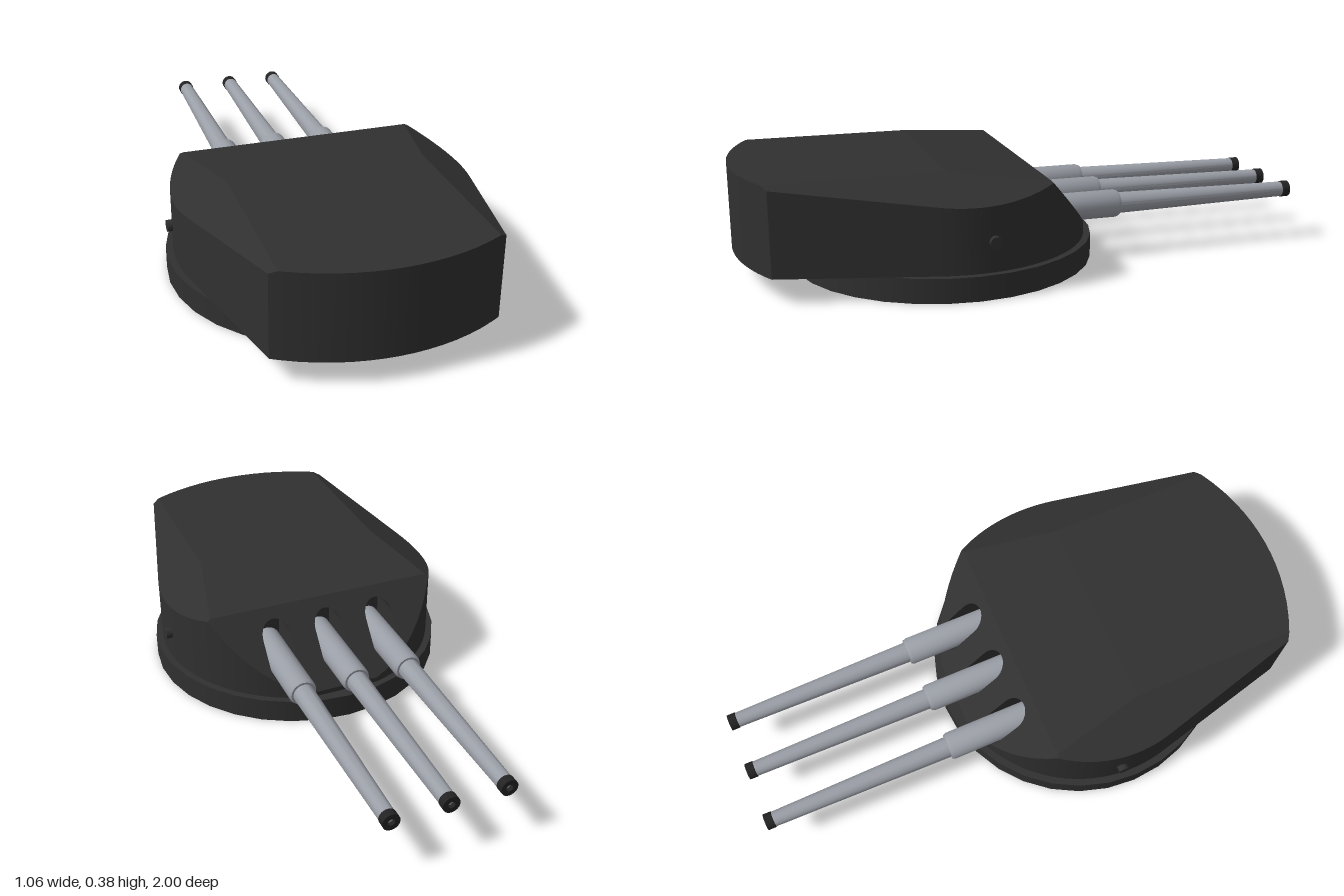
import * as THREE from 'three';
import { toCreasedNormals } from 'three/addons/utils/BufferGeometryUtils.js';
import { ConvexGeometry } from 'three/addons/geometries/ConvexGeometry.js';

const FLOOR = 0.083, AXIS_Y = 0.185, CENTRE_Z = 0.27, RADIUS = 0.505;
const SLOPE = 1.1136, BROW_Y = 0.345;
const GUN_X = [-0.195, 0, 0.195];

const slopeZ = (y) => (y - BROW_Y) / SLOPE;
// height of the armoured house at a plan position: roof, side bevels, front slope
const topY = (x, z) => Math.min(
  0.38, BROW_Y + 0.106 * z, 0.38 - 0.485 * (Math.abs(x) - 0.34),
  z < 0 ? BROW_Y + SLOPE * z : 1);

function arc(from, to, steps) {
  return Array.from({ length: steps + 1 }, (_, i) => {
    const a = from + (to - from) * i / steps;
    return [RADIUS * Math.cos(a), CENTRE_Z + RADIUS * Math.sin(a)];
  });
}

const sideArc = arc(0.241, -0.5759, 12);
const frontArc = arc(-0.5759, -1.3265, 11);

// closed house without its sloped face, which is made separately with gun slots
function houseGeometry() {
  const plan = [...sideArc, ...frontArc];
  for (const x of [0.365, 0.34, 0.29, 0.24, 0.19, 0.14, 0.09, 0.045, 0]) {
    plan.push([x, 0.284 + Math.sqrt(0.716 ** 2 - x * x)]);
  }
  const points = [];
  for (const s of [1, -1]) {
    for (const [x, z] of plan) {
      points.push(new THREE.Vector3(s * x, FLOOR, z), new THREE.Vector3(s * x, topY(x, z), z));
    }
    points.push(new THREE.Vector3(s * 0.34, 0.38, 0.33), new THREE.Vector3(s * 0.412, BROW_Y, 0));
  }
  const hull = new ConvexGeometry(points).getAttribute('position');
  const slopeNormal = new THREE.Vector3(0, 1, -SLOPE).normalize();
  const kept = [], tri = new THREE.Triangle(), n = new THREE.Vector3();
  for (let i = 0; i < hull.count; i += 3) {
    tri.setFromAttributeAndIndices(hull, i, i + 1, i + 2);
    if (tri.getNormal(n).dot(slopeNormal) > 0.995) continue;
    for (const p of [tri.a, tri.b, tri.c]) kept.push(p.x, p.y, p.z);
  }
  const g = new THREE.BufferGeometry();
  g.setAttribute('position', new THREE.Float32BufferAttribute(kept, 3));
  return toCreasedNormals(g, 0.1);
}

// round-topped gun port outline, in x and y
function slot(path, cx) {
  path.absarc(cx, 0.26, 0.052, 0, Math.PI);
  path.absarc(cx, AXIS_Y, 0.052, Math.PI, Math.PI + 0.7);
  path.absarc(cx, AXIS_Y, 0.052, 2 * Math.PI - 0.7, 2 * Math.PI);
  path.closePath();
  return path;
}

function frontPlateGeometry() {
  const edge = frontArc.map(([x, z]) => new THREE.Vector2(x, topY(x, z)));
  const mirrored = edge.map((p) => new THREE.Vector2(-p.x, p.y)).reverse();
  const shape = new THREE.Shape([
    new THREE.Vector2(0.412, BROW_Y), ...edge, ...mirrored, new THREE.Vector2(-0.412, BROW_Y)]);
  for (const x of GUN_X) shape.holes.push(slot(new THREE.Path(), x));
  const g = new THREE.ShapeGeometry(shape, 10);
  const p = g.getAttribute('position');
  for (let i = 0; i < p.count; i++) p.setZ(i, slopeZ(p.getY(i)));
  g.index.array.reverse(); // face towards the muzzles
  g.computeVertexNormals();
  return g;
}

// pocket behind each gun port: the near rim follows the sloped plate
function pocketGeometry() {
  const depth = 1;
  const g = new THREE.ExtrudeGeometry(slot(new THREE.Shape(), 0),
    { depth, bevelEnabled: false, curveSegments: 10 }).toNonIndexed();
  const p = g.getAttribute('position');
  const kept = [];
  for (let i = 0; i < p.count; i += 3) {
    const ids = [i, i + 1, i + 2];
    if (ids.every((k) => p.getZ(k) < 0.5)) continue;
    for (const k of ids) kept.push(p.getX(k), p.getY(k), p.getZ(k) > 0.5 ? 0.05 : slopeZ(p.getY(k)));
  }
  const out = new THREE.BufferGeometry();
  out.setAttribute('position', new THREE.Float32BufferAttribute(kept, 3));
  out.computeVertexNormals();
  return out;
}

// turned part whose axis points along -z; each pair is radius, distance forward
function turned(profile) {
  const g = new THREE.LatheGeometry(profile.map(([r, d]) => new THREE.Vector2(r, d)), 24);
  return toCreasedNormals(g.rotateX(-Math.PI / 2), 0.5);
}

export function createModel() {
  const mat = (name, color, side = THREE.FrontSide) =>
    Object.assign(new THREE.MeshStandardMaterial({ color, side }), { name });
  const armour = mat('dark armour', 0x303030, THREE.DoubleSide);
  const steel = mat('grey steel', 0x9a9ea6, THREE.DoubleSide);
  const black = mat('muzzle black', 0x232323, THREE.DoubleSide);

  const model = new THREE.Group();
  model.name = 'gunTurret';
  const add = (parent, name, geometry, material, x = 0, y = 0, z = 0) => {
    const m = new THREE.Mesh(geometry, material);
    m.name = name;
    m.position.set(x, y, z);
    parent.add(m);
    return m;
  };

  // turntable and house
  add(model, 'baseRing', new THREE.CylinderGeometry(0.53, 0.53, FLOOR, 32), armour, 0, FLOOR / 2, CENTRE_Z);
  add(model, 'house', houseGeometry(), armour);
  add(model, 'frontPlate', frontPlateGeometry(), armour);

  // sighting stubs on both sides
  for (const s of [1, -1]) {
    const stub = new THREE.CylinderGeometry(0.02, 0.02, 0.04, 16).rotateZ(Math.PI / 2);
    add(model, s > 0 ? 'leftStub' : 'rightStub', stub, armour, s * 0.501, AXIS_Y, 0.215);
  }

  // three guns with their ports
  const barrel = turned([[0, -0.04], [0.049, -0.04], [0.049, 0.31], [0.044, 0.322],
    [0.037, 0.322], [0.027, 0.972]]);
  const muzzle = turned([[0.026, 0.97], [0.029, 0.972], [0.029, 1], [0.012, 1], [0.012, 0.985]]);
  const bore = new THREE.CircleGeometry(0.0125, 16).rotateY(Math.PI);
  const pocket = pocketGeometry();
  GUN_X.forEach((x, i) => {
    const gun = new THREE.Group();
    gun.name = ['rightGun', 'middleGun', 'leftGun'][i];
    gun.position.x = x;
    model.add(gun);
    add(gun, 'gunPort', pocket, armour);
    add(gun, 'barrel', barrel, steel, 0, AXIS_Y);
    add(gun, 'muzzleRing', muzzle, black, 0, AXIS_Y);
    add(gun, 'bore', bore, steel, 0, AXIS_Y, -0.986);
  });
  return model;
}
